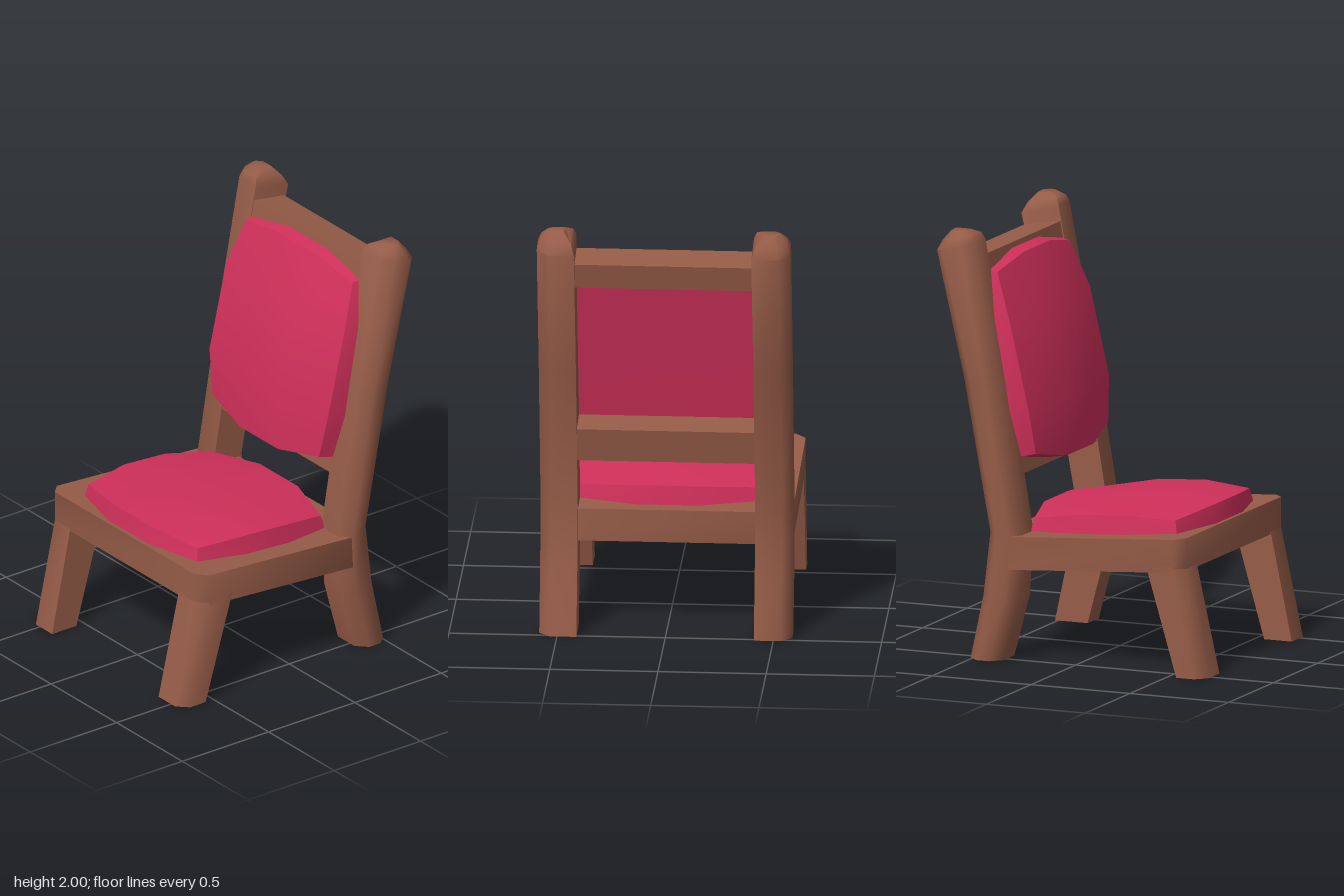
import * as THREE from 'three';
import { toCreasedNormals } from 'three/addons/utils/BufferGeometryUtils.js';

const wood = new THREE.MeshStandardMaterial({ color: 0x965c48 });
const fabric = new THREE.MeshStandardMaterial({ color: 0xd0305a });

// Closed solid through rings of [x, y, z], counterclockwise seen from above
function loft(rings, crease = 0.9) {
  const n = rings[0].length, index = [];
  for (let r = 0; r < rings.length - 1; r++) {
    for (let i = 0; i < n; i++) {
      const a = r * n + i, b = r * n + (i + 1) % n;
      index.push(a, b, b + n, a, b + n, a + n);
    }
  }
  const top = (rings.length - 1) * n;
  for (let i = 1; i < n - 1; i++) {
    index.push(0, i + 1, i, top, top + i, top + i + 1);
  }
  const g = new THREE.BufferGeometry();
  g.setAttribute('position', new THREE.Float32BufferAttribute(rings.flat(2), 3));
  g.setIndex(index);
  return toCreasedNormals(g, crease);
}

// Rectangular ring with chamfered outer corners; tilt lowers its back edge
function ring(y, x0, x1, zf, zb, cFront = 0, cBack = 0, tilt = 0) {
  const front = cFront ? [[x1 - cFront, zf], [x1, zf - cFront]] : [[x1, zf]];
  const back = cBack ? [[x1, zb + cBack], [x1 - cBack, zb]] : [[x1, zb]];
  return [[x0, zf], ...front, ...back, [x0, zb]].map(([x, z]) => [x, y + (z - zf) * tilt, z]);
}

const mirror = (rings) => rings.map((r) => r.map(([x, y, z]) => [-x, y, z]).reverse());

// Front and back of the posts by height: [y, zFront, zBack]
const postRows = [
  [0, -0.35, -0.515], [0.3, -0.27, -0.45], [0.6, -0.255, -0.415],
  [1.3, -0.373, -0.545], [1.95, -0.497, -0.685],
];

// Interpolates a column of postRows
function postZ(y, column) {
  let i = 0;
  while (i < postRows.length - 2 && y > postRows[i + 1][0]) i++;
  const a = postRows[i], b = postRows[i + 1];
  return THREE.MathUtils.lerp(a[column], b[column], (y - a[0]) / (b[0] - a[0]));
}

const seatTop = (z) => 0.65 + (z - 0.575) * 0.066;

// Pillow from a 3 x 3 box: bulging outline, domed front, then placed by a rule
function cushion(s, place) {
  const g = new THREE.BoxGeometry(2, 2, 2, 3, 3, 1);
  const p = g.attributes.position;
  for (let i = 0; i < p.count; i++) {
    const u = p.getX(i), v = p.getY(i), isFront = p.getZ(i) > 0;
    const uIn = Math.abs(u) < 0.5, vIn = Math.abs(v) < 0.5;
    const inset = isFront ? 0.965 : 1;
    const x = Math.sign(u) * (uIn ? 0.15 : s.halfX + (vIn ? 0.047 : 0)) * inset;
    const w = Math.sign(v) * (vIn ? s.innerV : s.halfV + (uIn ? s.bulgeV : 0)) * inset;
    const h = isFront ? s.heights[Number(uIn) + Number(vIn)] : s.base;
    p.setXYZ(i, ...place(x, w, h));
  }
  return toCreasedNormals(g, 0.6);
}

export function createModel() {
  const model = new THREE.Group();
  const add = (name, geometry, material = wood) => {
    const mesh = new THREE.Mesh(geometry, material);
    mesh.name = name;
    model.add(mesh);
  };

  // Back posts running from the floor to rounded tops
  const post = [
    ...postRows.map(([y, zf, zb], i) => ring(y, 0.41, 0.585, zf, zb, 0.05, 0.05, i === 4 ? 0.25 : 0)),
    ring(1.982, 0.425, 0.57, -0.512, -0.66, 0.045, 0.045, 0.2),
    ring(2.0, 0.46, 0.54, -0.55, -0.62, 0.025, 0.025),
  ];
  add('leftBackPost', loft(post));
  add('rightBackPost', loft(mirror(post)));

  // Splayed front legs
  const leg = [
    ring(0, 0.405, 0.58, 0.685, 0.545, 0.05),
    ring(0.52, 0.413, 0.58, 0.572, 0.39, 0.05),
  ];
  add('leftFrontLeg', loft(leg));
  add('rightFrontLeg', loft(mirror(leg)));

  // Solid seat sloping down to the back
  const half = [[0.53, 0.575], [0.58, 0.525], [0.58, -0.33], [0.5, -0.4]];
  const outline = [...half, ...half.map(([x, z]) => [-x, z]).reverse()];
  add('seat', loft([-0.155, 0].map((d) => outline.map(([x, z]) => [x, seatTop(z) + d, z]))));

  // Rails across the backrest, square to the leaning posts
  for (const [name, y0, y1] of [['lowerBackRail', 0.86, 1.02], ['upperBackRail', 1.76, 1.88]]) {
    add(name, loft([y0, y1].map((y) =>
      ring(y, -0.43, 0.43, postZ(y, 1) - 0.005, postZ(y, 2) + 0.01, 0, 0, 0.15))));
  }

  // Cushions
  add('seatCushion', cushion(
    { halfX: 0.43, halfV: 0.37, bulgeV: 0.075, innerV: 0.125, base: -0.005, heights: [0.06, 0.087, 0.105] },
    (x, v, h) => { const z = 0.11 - v; return [x, seatTop(z) + h, z]; }), fabric);
  add('backCushion', cushion(
    { halfX: 0.42, halfV: 0.435, bulgeV: 0.052, innerV: 0.215, base: -0.02, heights: [0.05, 0.08, 0.13] },
    (x, v, h) => { const y = 1.375 + v; return [x, y, postZ(y, 1) + h - v * 0.05]; }), fabric);

  return model;
}
